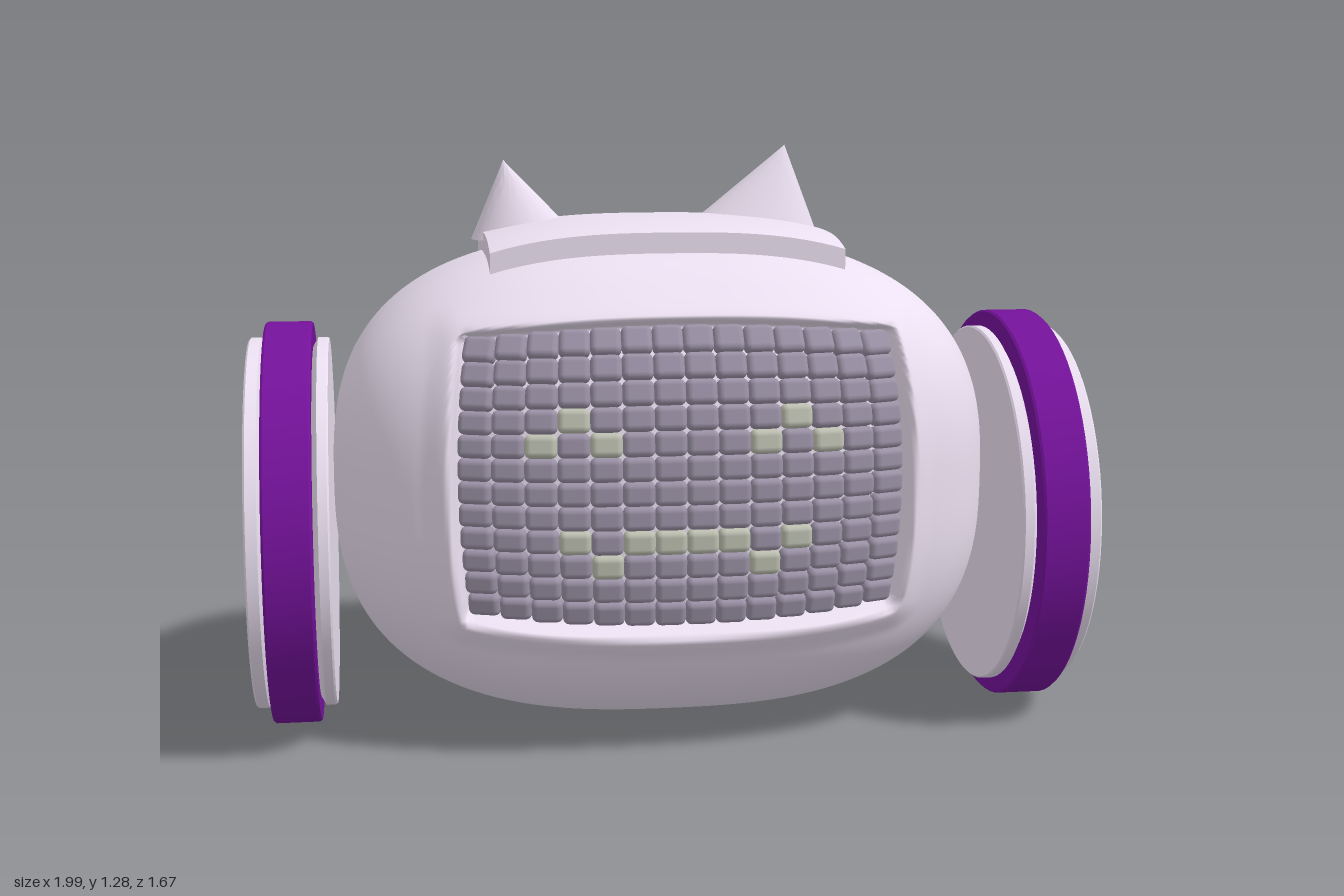
import * as THREE from 'three';
import { mergeVertices, mergeGeometries, toCreasedNormals } from 'three/addons/utils/BufferGeometryUtils.js';
import { RoundedBoxGeometry } from 'three/addons/geometries/RoundedBoxGeometry.js';

const N = 2.7;                                     // squareness of the body
const R = new THREE.Vector3(0.738, 0.535, 0.54);   // body half sizes
const C = new THREE.Vector3(0, 0.547, -0.055);     // body centre
const SY = 0.61;                                   // screen centre height

const mat = (color) => new THREE.MeshStandardMaterial({ color, side: THREE.DoubleSide });
const shell = mat(0xeadff0), purple = mat(0x74129a), capMat = mat(0xc2c6c2);
const tileMat = mat(0x9a91a5), litMat = mat(0xbcbfb0);

const root = (a, b) => Math.pow(Math.max(0, 1 - Math.pow(Math.abs(a), N) - Math.pow(Math.abs(b), N)), 1 / N);
const frontZ = (x, y) => C.z + R.z * root(x / R.x, (y - C.y) / R.y);
const topY = (x, z) => C.y + R.y * root(x / R.x, (z - C.z) / R.z);

function add(parent, name, geometry, material) {
  const mesh = new THREE.Mesh(geometry, material);
  mesh.name = name;
  parent.add(mesh);
  return mesh;
}

// Bulging screen outline: s and t run from -1 to 1
const screenPoint = (s, t) => [
  0.45 * s * (1 + 0.05 * (1 - t * t)),
  SY + 0.285 * t * (1 + 0.1 * (1 - s * s)),
];

// Distance outside the screen outline (negative inside)
function screenDistance(x, y) {
  const s = Math.min(1, Math.abs(x) / 0.455), t = Math.min(1, Math.abs(y - SY) / 0.29);
  const dx = Math.abs(x) - 0.452 * (1 + 0.05 * (1 - t * t));
  const dy = Math.abs(y - SY) - 0.287 * (1 + 0.1 * (1 - s * s));
  return dx > 0 && dy > 0 ? Math.hypot(dx, dy) : Math.max(dx, dy);
}

// Rounded body: a cube grid eased onto a superellipsoid, with a lipped recess
function bodyGeometry() {
  let g = new THREE.BoxGeometry(2, 2, 2, 96, 76, 36);
  g.deleteAttribute('uv');
  g.deleteAttribute('normal');
  g = mergeVertices(g);
  const p = g.attributes.position, v = new THREE.Vector3();
  for (let i = 0; i < p.count; i++) {
    v.fromBufferAttribute(p, i);
    const k = Math.pow(Math.abs(v.x) ** N + Math.abs(v.y) ** N + Math.abs(v.z) ** N, -1 / N);
    v.multiplyScalar(k).multiply(R).add(C);
    if (v.z > 0.15) {
      const d = screenDistance(v.x, v.y);
      const lip = 0.016 * (1 - THREE.MathUtils.smoothstep(d, 0.02, 0.08));
      v.z += lip - 0.08 * (1 - THREE.MathUtils.smoothstep(d, -0.005, 0.02));
    }
    p.setXYZ(i, v.x, v.y, v.z);
  }
  g.computeVertexNormals();
  return g;
}

// Pillow tiles laid over the curved recess; a few lit ones form eyes and mouth
function addScreen(robot) {
  const cols = 14, rows = 12, dim = [], lit = [];
  const isLit = (c, r) => {
    const m = Math.min(c, cols - 1 - c);          // mirrored column
    if (r === 3) return m === 3;
    if (r === 4) return m === 2 || m === 4;
    if (r === 8) return m === 3 || m === 5 || m === 6;
    return r === 9 && m === 4;
  };
  const o = new THREE.Object3D(), e = 0.01;
  for (let r = 0; r < rows; r++) {
    for (let c = 0; c < cols; c++) {
      const s = ((c + 0.5) / cols) * 2 - 1, t = 1 - ((r + 0.5) / rows) * 2;
      const [x, y] = screenPoint(s, t);
      const w = (0.91 / cols) * (1 + 0.05 * (1 - t * t));
      const h = (0.575 / rows) * (1 + 0.1 * (1 - s * s));
      const nx = (frontZ(x - e, y) - frontZ(x + e, y)) / (2 * e);
      const ny = (frontZ(x, y - e) - frontZ(x, y + e)) / (2 * e);
      const z = frontZ(x, y) - 0.043;
      o.position.set(x, y, z);
      o.lookAt(x + nx, y + ny, z + 1);
      o.updateMatrix();
      const tile = new RoundedBoxGeometry(w * Math.hypot(1, nx), h * Math.hypot(1, ny), 0.036, 2, 0.014);
      (isLit(c, r) ? lit : dim).push(tile.applyMatrix4(o.matrix));
    }
  }
  add(robot, 'screenTiles', mergeGeometries(dim), tileMat);
  add(robot, 'litTiles', mergeGeometries(lit), litMat);
}

// Curved plate that follows the top of the body
function plateGeometry() {
  const g = new THREE.BoxGeometry(0.78, 1, 0.5, 28, 1, 20).translate(0, 0, -0.07);
  const p = g.attributes.position;
  for (let i = 0; i < p.count; i++) {
    p.setY(i, topY(p.getX(i), p.getZ(i)) + (p.getY(i) > 0 ? 0.045 : -0.025));
  }
  g.computeVertexNormals();
  return g;
}

// Cone with an oval base and a tip pushed sideways
function earGeometry(base, rx, rz, tip) {
  const y0 = 1.07, h = tip[1] - y0;
  const g = new THREE.ConeGeometry(1, 1, 48, 8).translate(0, 0.5, 0).scale(rx, h, rz);
  const p = g.attributes.position;
  for (let i = 0; i < p.count; i++) {
    const f = p.getY(i) / h;
    p.setXYZ(i,
      p.getX(i) + base[0] + (tip[0] - base[0]) * f,
      p.getY(i) + y0,
      p.getZ(i) + base[1] + (tip[2] - base[1]) * f);
  }
  return toCreasedNormals(g, 0.9);
}

// Turned part around the x axis, from [radius, x] pairs
function turned(points) {
  const g = new THREE.LatheGeometry(points.map(([r, x]) => new THREE.Vector2(r, x)), 72);
  return toCreasedNormals(g.rotateZ(-Math.PI / 2), 0.6);
}

function makeWheel(name) {
  const wheel = new THREE.Group();
  wheel.name = name;
  add(wheel, 'tyre', turned([[0.38, 0.775], [0.446, 0.775], [0.45, 0.78],
    [0.45, 0.874], [0.446, 0.879], [0.38, 0.879]]), purple);
  add(wheel, 'innerDisc', turned([[0, 0.74], [0.41, 0.74], [0.414, 0.744], [0.414, 0.764],
    [0.39, 0.778], [0, 0.778]]), shell);
  add(wheel, 'outerDisc', turned([[0.39, 0.876], [0.415, 0.888], [0.415, 0.912], [0.411, 0.916],
    [0.185, 0.916], [0.168, 0.902], [0.145, 0.902], [0.136, 0.925], [0.126, 0.934],
    [0.114, 0.934], [0.106, 0.926], [0, 0.926]]), shell);
  add(wheel, 'hubCap', turned([[0.105, 0.92], [0.105, 0.929], [0, 0.931]]), capMat);
  wheel.position.y = 0.45;
  return wheel;
}

export function createModel() {
  const model = new THREE.Group();
  model.name = 'wheeledRobot';
  const robot = new THREE.Group();
  robot.name = 'robot';
  model.add(robot);

  add(robot, 'body', bodyGeometry(), shell);
  addScreen(robot);
  add(robot, 'topPlate', plateGeometry(), shell);
  add(robot, 'leftEar', earGeometry([0.228, -0.15], 0.168, 0.105, [0.313, 1.28, -0.132]), shell);
  add(robot, 'rightEar', earGeometry([-0.29, -0.134], 0.125, 0.092, [-0.341, 1.25, -0.112]), shell);

  robot.add(makeWheel('leftWheel'));
  const right = makeWheel('rightWheel');
  right.rotation.y = Math.PI;
  robot.add(right);

  // The whole robot is turned towards its left
  robot.rotation.y = 0.543;
  return model;
}
